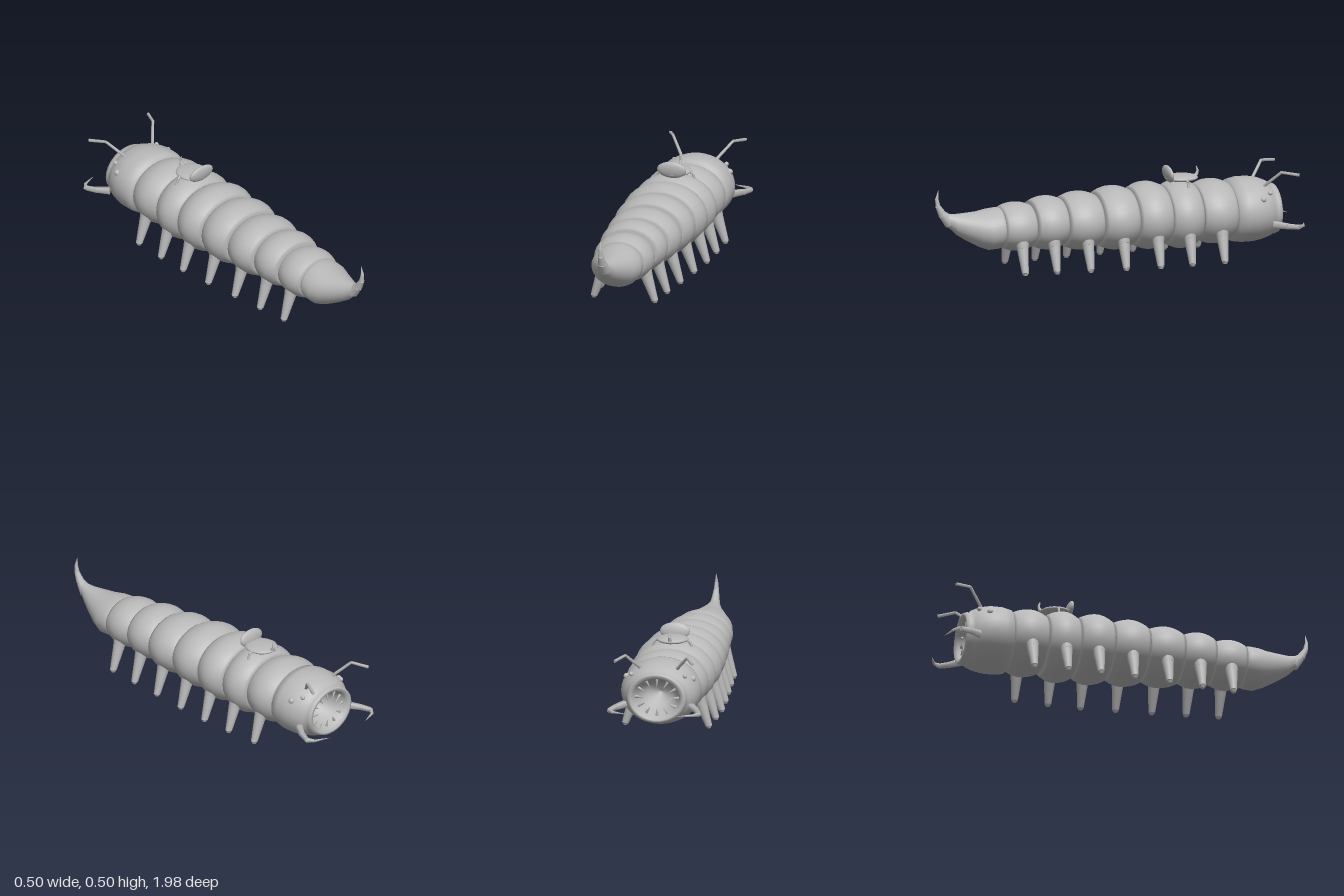
import * as THREE from 'three';

const grey = new THREE.MeshStandardMaterial({ color: 0xb8b8b8 });
grey.name = 'stone grey';

// Skin over elliptical rings [z, centreY, radiusX, radiusY]
function loft(rings, n = 32) {
  const pos = [], idx = [];
  rings.forEach(([z, cy, rx, ry], j) => {
    for (let i = 0; i < n; i++) {
      const a = (i / n) * Math.PI * 2;
      pos.push(rx * Math.cos(a), cy + ry * Math.sin(a), z);
      if (j < rings.length - 1) {
        const p = j * n + i, q = j * n + (i + 1) % n;
        idx.push(p, q, p + n, q, q + n, p + n);
      }
    }
  });
  const g = new THREE.BufferGeometry();
  g.setAttribute('position', new THREE.Float32BufferAttribute(pos, 3));
  g.setIndex(idx);
  g.computeVertexNormals();
  return g;
}

export function createModel() {
  const model = new THREE.Group();
  model.name = 'giantWorm';

  const add = (name, geometry, parent = model) => {
    const m = new THREE.Mesh(geometry, grey);
    m.name = name;
    parent.add(m);
    return m;
  };

  // Chain of tapered pieces through points [x, y, z, radius]
  const limb = (name, pts, sides = 8) => {
    const g = new THREE.Group();
    g.name = name;
    model.add(g);
    for (let i = 0; i < pts.length - 1; i++) {
      const a = new THREE.Vector3(...pts[i]), b = new THREE.Vector3(...pts[i + 1]);
      const d = b.clone().sub(a);
      const m = add(name + 'Piece', new THREE.CylinderGeometry(pts[i + 1][3], pts[i][3], d.length(), sides), g);
      m.position.copy(a).add(b).multiplyScalar(0.5);
      m.quaternion.setFromUnitVectors(new THREE.Vector3(0, 1, 0), d.normalize());
    }
    return g;
  };

  const ball = (name, x, y, z, rx, ry = rx, rz = rx) => {
    const m = add(name, new THREE.SphereGeometry(1, 20, 14));
    m.position.set(x, y, z);
    m.scale.set(rx, ry, rz);
    return m;
  };

  // Body segments: [rear z, front z, half width, top, bottom, foot x]
  const segments = [
    [0.64, 0.47, 0.16, 0.364, 0.11, 0.165],
    [0.47, 0.30, 0.18, 0.385, 0.105, 0.18],
    [0.30, 0.11, 0.20, 0.396, 0.092, 0.197],
    [0.11, -0.08, 0.217, 0.412, 0.08, 0.214],
    [-0.08, -0.26, 0.228, 0.422, 0.07, 0.227],
    [-0.26, -0.43, 0.224, 0.42, 0.062, 0.226],
    [-0.43, -0.62, 0.217, 0.412, 0.075, 0.22],
  ];
  for (const [z0, z1, rx, top, bottom, foot] of segments) {
    const cz = (z0 + z1) / 2, half = (z0 - z1) / 2 + 0.004;
    const cy = (top + bottom) / 2, ry = (top - bottom) / 2;
    const rings = [[cz - half, cy, 0.001, 0.001]];
    for (let i = 0; i <= 12; i++) {
      const t = i / 6 - 1;
      const f = 0.81 + 0.19 * Math.pow(Math.max(0, Math.cos(t * Math.PI / 2)), 0.8);
      rings.push([cz + t * half, cy, rx * f, ry * f]);
    }
    rings.push([cz + half, cy, 0.001, 0.001]);
    add('bodySegment', loft(rings));

    // Stubby legs with rounded feet
    for (const s of [1, -1]) {
      limb('leg', [
        [s * (foot - 0.06), 0.19, cz, 0.04], [s * (foot - 0.042), 0.14, cz, 0.031],
        [s * foot, 0.018, cz, 0.018], [s * (foot + 0.002), 0.004, cz, 0.01],
      ], 14);
    }
  }

  // Tail with an upturned spike
  add('tail', loft([
    [0.60, 0.24, 0.09, 0.08], [0.635, 0.238, 0.125, 0.102], [0.66, 0.234, 0.135, 0.108],
    [0.71, 0.23, 0.133, 0.107], [0.76, 0.235, 0.112, 0.093], [0.82, 0.25, 0.083, 0.075],
    [0.88, 0.268, 0.052, 0.055], [0.93, 0.295, 0.028, 0.033], [0.96, 0.325, 0.008, 0.008],
  ]));
  limb('tailSpike', [
    [0, 0.28, 0.91, 0.036], [0, 0.325, 0.955, 0.022], [0, 0.37, 0.98, 0.014],
    [0, 0.41, 0.986, 0.009], [0, 0.455, 0.978, 0.001],
  ]);

  // Head, running from the throat out over the lip and back to the neck
  add('head', loft([
    [-0.70, 0.235, 0.001, 0.001], [-0.73, 0.235, 0.07, 0.06], [-0.81, 0.235, 0.105, 0.09],
    [-0.855, 0.235, 0.122, 0.102], [-0.87, 0.235, 0.138, 0.116], [-0.868, 0.235, 0.152, 0.128],
    [-0.85, 0.235, 0.159, 0.134], [-0.836, 0.235, 0.155, 0.131], [-0.826, 0.237, 0.168, 0.145],
    [-0.785, 0.24, 0.194, 0.16], [-0.73, 0.241, 0.208, 0.17], [-0.67, 0.241, 0.208, 0.17],
    [-0.625, 0.24, 0.196, 0.162], [-0.61, 0.24, 0.15, 0.12],
  ], 40));

  // Ring of teeth
  for (let i = 0; i < 12; i++) {
    const a = (i / 12) * Math.PI * 2, c = Math.cos(a), s = Math.sin(a);
    limb('tooth', [
      [0.116 * c, 0.235 + 0.098 * s, -0.835, 0.009], [0.07 * c, 0.235 + 0.058 * s, -0.845, 0.001],
    ], 6);
  }

  // Paired head parts and saddle straps
  for (const s of [1, -1]) {
    ball('largeEye', s * 0.175, 0.322, -0.752, 0.016);
    ball('smallEye', s * 0.142, 0.346, -0.802, 0.012);
    limb('antenna', [
      [s * 0.095, 0.375, -0.78, 0.009], [s * 0.163, 0.457, -0.855, 0.008], [s * 0.205, 0.445, -0.94, 0.009],
    ], 5);
    limb('mandible', [
      [s * 0.175, 0.185, -0.81, 0.022], [s * 0.215, 0.18, -0.87, 0.017],
      [s * 0.237, 0.176, -0.925, 0.014], [s * 0.215, 0.176, -0.958, 0.008], [s * 0.135, 0.175, -0.988, 0.001],
    ], 5);
    limb('saddleStrap', [
      [s * 0.075, 0.433, -0.365, 0.007], [s * 0.092, 0.42, -0.365, 0.007], [s * 0.108, 0.385, -0.365, 0.006],
    ], 6);
  }

  // Saddle: seat, raised back and curled horn
  ball('saddleSeat', 0, 0.432, -0.36, 0.083, 0.019, 0.088);
  ball('saddleBack', 0, 0.457, -0.287, 0.079, 0.045, 0.019).rotation.x = 0.15;
  limb('saddleHorn', [
    [0, 0.43, -0.42, 0.014], [0, 0.44, -0.442, 0.01], [0, 0.462, -0.45, 0.007], [0, 0.487, -0.442, 0.003],
  ]);

  return model;
}
